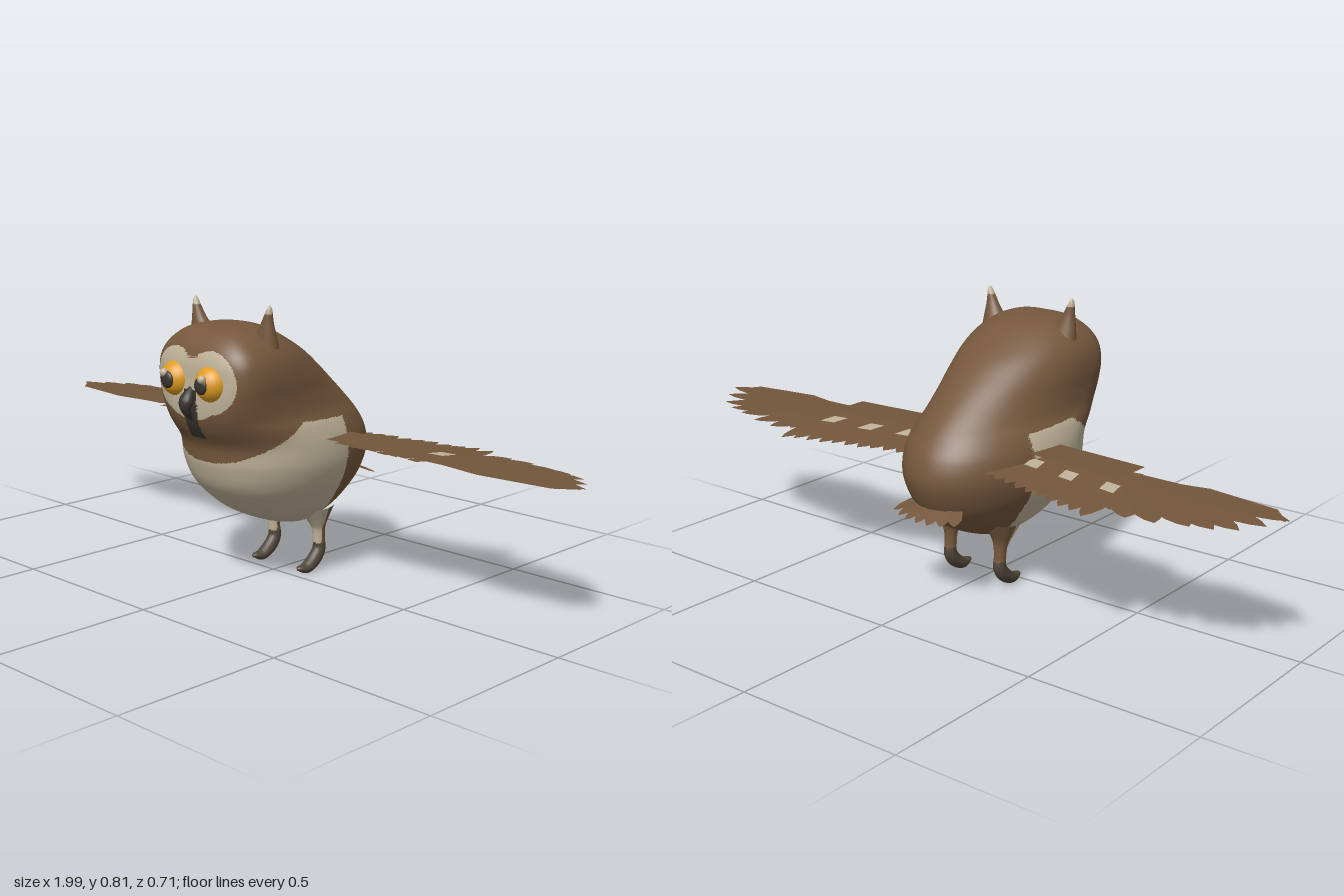
import * as THREE from 'three';

const mat = (name, color, side = THREE.FrontSide) => {
  const m = new THREE.MeshStandardMaterial({ color, side });
  m.name = name;
  return m;
};
const V = (x, y, z) => new THREE.Vector3(x, y, z);

// Skin a grid of points; pick(centroid) chooses the material index of each face.
function skin(rows, cols, point, pick) {
  const pos = [], faces = [];
  for (let i = 0; i <= rows; i++)
    for (let j = 0; j < cols; j++) pos.push(...point(i / rows, (j / cols) * Math.PI * 2).toArray());
  const at = (k) => V(pos[k * 3], pos[k * 3 + 1], pos[k * 3 + 2]);
  const add = (a, b, c) => {
    const m = pick ? pick(at(a).add(at(b)).add(at(c)).divideScalar(3)) : 0;
    (faces[m] ??= []).push(a, b, c);
  };
  for (let i = 0; i < rows; i++)
    for (let j = 0; j < cols; j++) {
      const k = (j + 1) % cols, a = i * cols + j, b = i * cols + k;
      add(a, a + cols, b);
      add(b, a + cols, b + cols);
    }
  const g = new THREE.BufferGeometry();
  g.setAttribute('position', new THREE.Float32BufferAttribute(pos, 3));
  g.setIndex(faces.flat());
  let start = 0;
  faces.forEach((f, m) => { g.addGroup(start, f.length, m); start += f.length; });
  g.computeVertexNormals();
  return g;
}

// Round limb along a path: stations are [x, y, z, radiusX, radiusOther].
function limb(stations, rows, cols, pick) {
  const path = new THREE.CatmullRomCurve3(stations.map((s) => V(s[0], s[1], s[2])));
  path.curveType = 'catmullrom';
  const radii = new THREE.CatmullRomCurve3(stations.map((s) => V(s[3], s[4], 0)));
  radii.curveType = 'catmullrom';
  return skin(rows, cols, (t, a) => {
    const p = path.getPoint(t), r = radii.getPoint(t);
    const n = V(1, 0, 0).cross(path.getTangent(t)).normalize();
    p.x += r.x * Math.cos(a);
    return p.addScaledVector(n, r.y * Math.sin(a));
  }, pick);
}

// Flat pointed feather from root to tip.
function feather(root, tip, half) {
  const steps = [[0, 0.6], [0.3, 0.9], [0.6, 1], [0.8, 0.95], [0.92, 0.55], [1, 0.02]];
  const dir = tip.clone().sub(root);
  const side = V(dir.z, 0, -dir.x).normalize();
  const pos = [], idx = [];
  steps.forEach(([t, w], i) => {
    for (const s of [-1, 1])
      pos.push(...root.clone().addScaledVector(dir, t).addScaledVector(side, s * w * half).toArray());
    if (i) { const k = i * 2; idx.push(k - 2, k - 1, k, k - 1, k + 1, k); }
  });
  // wind so that the top face looks up
  const g = new THREE.BufferGeometry();
  g.setAttribute('position', new THREE.Float32BufferAttribute(pos, 3));
  g.setIndex(idx);
  g.computeVertexNormals();
  if (g.attributes.normal.getY(0) < 0) {
    for (let i = 0; i < idx.length; i += 3) [idx[i], idx[i + 1]] = [idx[i + 1], idx[i]];
    g.setIndex(idx);
    g.computeVertexNormals();
  }
  return g;
}

// Flat panel from outline points [x, z] at height y(z).
function panel(pts, y) {
  const pos = pts.flatMap(([x, z]) => [x, y(z), z]);
  const g = new THREE.BufferGeometry();
  g.setAttribute('position', new THREE.Float32BufferAttribute(pos, 3));
  const up = (pts[1][1] - pts[0][1]) * (pts[2][0] - pts[0][0]) - (pts[1][0] - pts[0][0]) * (pts[2][1] - pts[0][1]) > 0;
  g.setIndex(up ? [0, 1, 2, 0, 2, 3] : [0, 2, 1, 0, 3, 2]);
  g.computeVertexNormals();
  return g;
}

export function createModel() {
  const brown = mat('brown plumage', 0x75573c);
  const cream = mat('cream plumage', 0xbfb298);
  const dark = mat('dark beak', 0x38332e);
  const footDark = mat('foot brown', 0x51463a);
  const orange = mat('orange eye', 0xe09c20);
  const wingBrown = mat('wing brown', 0x73563c, THREE.DoubleSide);
  const barCream = mat('wing bar cream', 0xbfb298, THREE.DoubleSide);

  const model = new THREE.Group();
  const add = (name, geo, material, parent = model) => {
    const m = new THREE.Mesh(geo, material);
    m.name = name;
    parent.add(m);
    return m;
  };

  // Body and head: [y, half width, z front, z back, z of widest point]
  const profile = [
    [0.153, 0.0, -0.06, -0.06, -0.06], [0.158, 0.075, 0.02, -0.12, -0.05], [0.2, 0.135, 0.125, -0.21, -0.02],
    [0.25, 0.172, 0.195, -0.275, 0.0], [0.3, 0.202, 0.24, -0.308, 0.01], [0.36, 0.221, 0.264, -0.325, 0.02],
    [0.42, 0.222, 0.274, -0.312, 0.03], [0.47, 0.212, 0.303, -0.28, 0.06], [0.51, 0.197, 0.318, -0.245, 0.1],
    [0.56, 0.193, 0.32, -0.19, 0.14], [0.61, 0.195, 0.318, -0.13, 0.17], [0.66, 0.187, 0.315, -0.065, 0.18],
    [0.7, 0.163, 0.3, -0.0, 0.18], [0.735, 0.118, 0.268, 0.065, 0.18], [0.752, 0.065, 0.23, 0.12, 0.18],
    [0.757, 0.0, 0.18, 0.18, 0.18]];
  const curveA = new THREE.CatmullRomCurve3(profile.map((p) => V(p[1], p[0], p[4])), false, 'catmullrom');
  const curveB = new THREE.CatmullRomCurve3(profile.map((p) => V(p[2], p[3], 0)), false, 'catmullrom');
  const bodyPoint = (t, a) => {
    const A = curveA.getPoint(t), B = curveB.getPoint(t);
    const c = Math.cos(a), s = Math.sin(a);
    const e = s > 0 ? 0.9 - 0.3 * THREE.MathUtils.smoothstep(A.y, 0.42, 0.58) : 1;
    const pw = (v) => Math.sign(v) * Math.abs(v) ** e;
    const depth = s > 0 ? B.x - A.z : A.z - B.y;
    return V(Math.max(A.x, 0) * pw(c), A.y, A.z + depth * pw(s));
  };
  // Plumage pattern: 0 brown, 1 cream, 2 dark
  const plumage = ({ x, y, z }) => {
    const ax = Math.abs(x);
    if (z > 0.2 && y > 0.42) {
      if (ax < 0.026 && y > 0.445 && y < 0.585) return 2;
      if (Math.hypot(ax - 0.069, y - 0.61) < 0.086) return 1;
      if ((x / 0.115) ** 2 + ((y - 0.58) / 0.078) ** 2 < 1) return 1;
    }
    const edge = z > 0.09 ? 0.49 - (z - 0.09) * 0.65 : 0.485 + z * 0.06;
    return z > -0.09 && y < edge ? 1 : 0;
  };
  add('body', skin(180, 200, bodyPoint, plumage), [brown, cream, dark]);

  // Beak
  add('beak', limb([[0, 0.495, 0.308, 0.003, 0.003], [0, 0.53, 0.335, 0.015, 0.013],
    [0, 0.558, 0.333, 0.022, 0.018], [0, 0.592, 0.312, 0.006, 0.006]], 16, 16), dark);

  // Tail fan
  const tail = new THREE.Group();
  tail.name = 'tail';
  model.add(tail);
  for (let i = -3; i <= 3; i++) {
    const a = i * 0.2, lift = Math.abs(i) * 0.001;
    add('tailFeather', feather(V(i * 0.012, 0.313 - lift, -0.22),
      V(Math.sin(a) * 0.195, 0.255 + 0.04 * (1 - Math.cos(a)) - lift, -0.165 - Math.cos(a) * 0.19), 0.021), wingBrown, tail);
  }

  for (const s of [1, -1]) {
    const side = s > 0 ? 'left' : 'right';

    // Eye with pupil and glint
    const eye = new THREE.Group();
    eye.name = side + 'Eye';
    model.add(eye);
    add('eyeball', new THREE.SphereGeometry(0.052, 32, 24), orange, eye).position.set(s * 0.069, 0.607, 0.296);
    const pupil = add('pupil', new THREE.SphereGeometry(0.024, 24, 16), dark, eye);
    pupil.position.set(s * 0.068, 0.607, 0.342);
    pupil.scale.z = 0.45;
    add('glint', new THREE.SphereGeometry(0.012, 16, 12), cream, eye).position.set(s * 0.076, 0.626, 0.346);

    // Ear tuft with pale tip
    add(side + 'Ear', limb([[s * 0.115, 0.665, 0.15, 0.055, 0.04], [s * 0.126, 0.72, 0.157, 0.037, 0.027],
      [s * 0.138, 0.765, 0.161, 0.019, 0.016], [s * 0.146, 0.8, 0.162, 0.008, 0.009],
      [s * 0.148, 0.814, 0.162, 0.001, 0.001]], 40, 20, (p) => (p.y > 0.79 ? 1 : 0)), [brown, cream]);

    // Leg and foot, from toe up to hip
    const x = s * 0.092;
    add(side + 'Leg', limb([[x, 0.021, -0.004, 0.001, 0.001], [x, 0.02, -0.015, 0.011, 0.008],
      [x, 0.018, -0.045, 0.019, 0.017], [x, 0.038, -0.078, 0.02, 0.021], [x, 0.065, -0.097, 0.019, 0.02],
      [x, 0.095, -0.096, 0.018, 0.018], [x, 0.13, -0.094, 0.021, 0.02], [x, 0.158, -0.09, 0.032, 0.032],
      [x * 0.95, 0.2, -0.085, 0.055, 0.06]], 60, 24,
      (p) => (p.y < 0.085 ? 2 : p.z > -0.09 ? 1 : 0)), [brown, cream, footDark]);

    // Wing
    const wing = new THREE.Group();
    wing.name = side + 'Wing';
    model.add(wing);
    const wingY = (z) => 0.416 + 0.07 * z;
    add('wingCover', panel([[s * 0.15, 0.018], [s * 0.515, -0.008], [s * 0.515, -0.142], [s * 0.15, -0.1]],
      () => 0.432), wingBrown, wing);
    // inner feathers
    for (let i = 0; i < 10; i++) {
      const f = i / 9, lift = (i % 3) * 0.0012;
      const rx = 0.17 + f * 0.33, tx = 0.16 + f * 0.375, tz = -0.25 - f * 0.085;
      add('innerFeather', feather(V(s * rx, wingY(-0.02) + lift, -0.02),
        V(s * tx, wingY(tz) + lift, tz), 0.031), wingBrown, wing);
    }
    // outer feathers fanning towards the wing tip
    const tips = [[0.575, -0.262], [0.635, -0.285], [0.715, -0.275], [0.8, -0.25], [0.86, -0.235],
      [0.915, -0.208], [0.96, -0.155], [0.993, -0.098]];
    tips.forEach(([tx, tz], i) => {
      const f = i / 7, rz = -0.1 + f * 0.045, lift = i * 0.0008;
      add('outerFeather', feather(V(s * 0.525, wingY(rz) + lift, rz),
        V(s * tx, wingY(tz) + lift, tz), 0.036 + f * 0.004), wingBrown, wing);
    });
    // leading edge web
    add('leadingEdge', panel([[s * 0.52, -0.05], [s * 0.72, -0.015], [s * 0.93, -0.042], [s * 0.985, -0.1]],
      (z) => wingY(z) + 0.002), wingBrown, wing);
    // pale bars on both faces
    for (const [bx, bz] of [[0.5, -0.15], [0.36, -0.14], [0.23, -0.118]])
      for (const dy of [0.005, -0.002])
        add('wingBar', panel([[s * (bx - 0.03), bz + 0.028], [s * (bx + 0.018), bz + 0.022],
          [s * (bx + 0.028), bz - 0.03], [s * (bx - 0.02), bz - 0.022]], (z) => wingY(z) + dy), barCream, wing);
  }
  return model;
}
